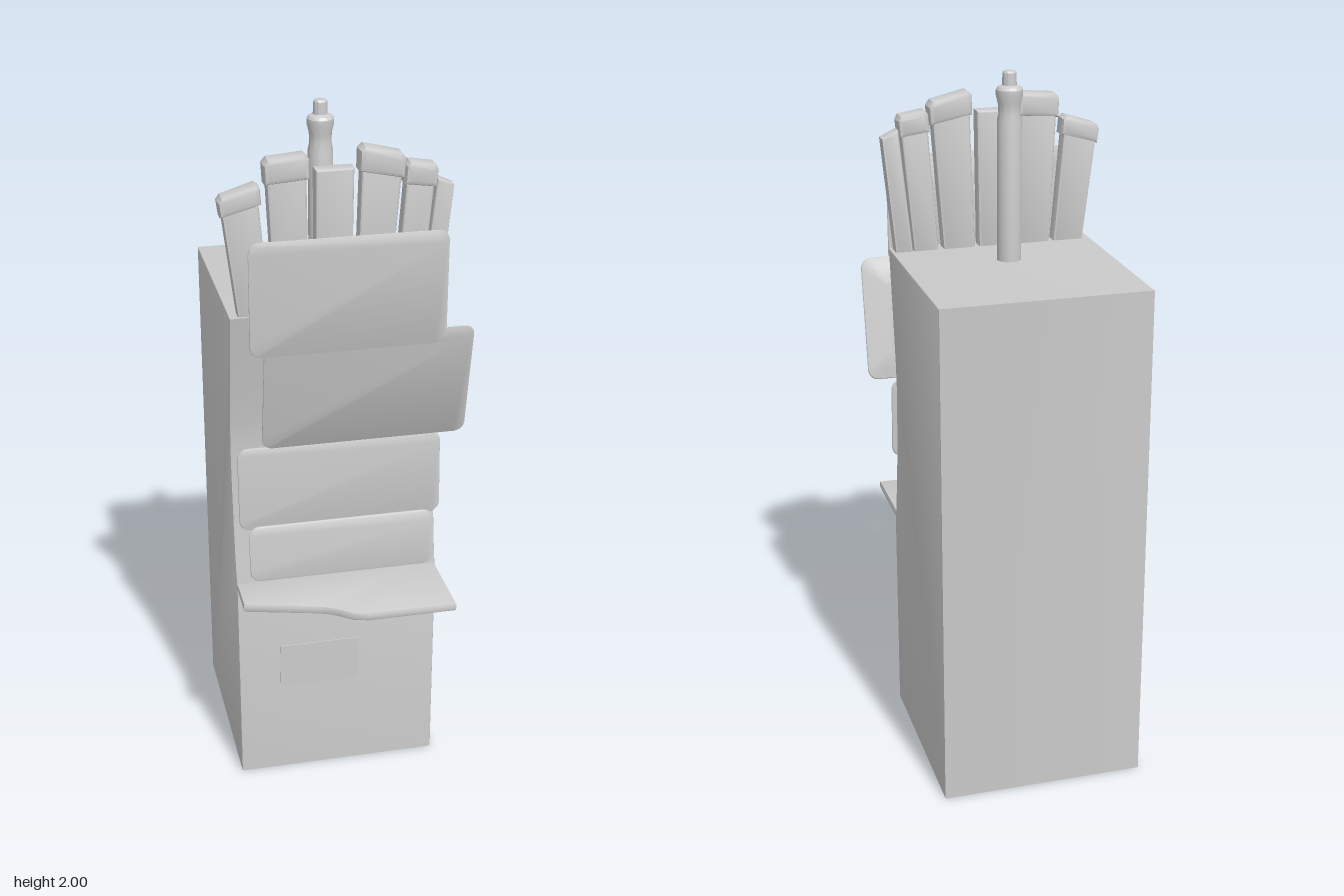
import * as THREE from 'three';
import { toCreasedNormals } from 'three/addons/utils/BufferGeometryUtils.js';

const grey = new THREE.MeshStandardMaterial({ color: 0xcccccc });

function mesh(name, geometry, parent) {
  const m = new THREE.Mesh(toCreasedNormals(geometry, 0.5), grey);
  m.name = name;
  parent.add(m);
  return m;
}

// Bevelled extrusion of an outline; the bevel stays inside outline and depth
function slab(points, depth, bevel) {
  const shape = new THREE.Shape(points.map(([x, y]) => new THREE.Vector2(x, y)));
  const g = new THREE.ExtrudeGeometry(shape, {
    depth: depth - 2 * bevel, bevelThickness: bevel, bevelSize: bevel,
    bevelOffset: -bevel, bevelSegments: 2,
  });
  return g.translate(0, 0, bevel);
}

// Rounded rectangle lofted through rings of [inset, z], front ring first
function roundedLoft(w, h, r, rings) {
  const pos = [], index = [], n = 24;
  for (const [inset, z] of rings) {
    const rr = Math.max(r - inset * 0.3, 0.008);
    for (let i = 0; i < n; i++) {
      const corner = Math.floor(i / 6);
      const a = (corner + (i % 6) / 5) * Math.PI / 2;
      const sx = corner === 0 || corner === 3 ? 1 : -1, sy = corner < 2 ? 1 : -1;
      pos.push(sx * (w / 2 - inset - rr) + rr * Math.cos(a), sy * (h / 2 - inset - rr) + rr * Math.sin(a), z);
    }
  }
  for (let k = 0; k < rings.length - 1; k++) {
    for (let i = 0; i < n; i++) {
      const a = k * n + i, b = k * n + (i + 1) % n;
      index.push(a, a + n, b, b, a + n, b + n);
    }
  }
  const last = (rings.length - 1) * n;
  for (let i = 1; i < n - 1; i++) {
    index.push(0, i, i + 1, last, last + i + 1, last + i);
  }
  const g = new THREE.BufferGeometry();
  g.setAttribute('position', new THREE.Float32BufferAttribute(pos, 3));
  g.setIndex(index);
  return g;
}

// Display plate with a domed back and a mounting block behind it
function display(name, x0, x1, y0, y1, z, tilt, mountW, mountH, mountD, thick, parent) {
  const g = new THREE.Group();
  g.name = name;
  const w = x1 - x0, h = (y1 - y0) / Math.cos(tilt);
  mesh(name + 'Plate', roundedLoft(w, h, 0.03, [
    [0.006, 0], [0.001, -0.002], [0, -0.005], [0.002, -0.008],
    [0.03, -0.6 * thick], [0.07, -thick],
  ]), g);
  const mount = mesh(name + 'Mount', roundedLoft(mountW, mountH, 0.012, [[0, 0], [0, -mountD]]), g);
  mount.position.z = -thick + 0.004;
  g.position.set((x0 + x1) / 2, (y0 + y1) / 2, z);
  g.rotation.x = tilt;
  parent.add(g);
}

// Upright slat from bottom edge to slanted top edge, with an optional thicker cap
function slat(i, b0, b1, [t0x, t0y], [t1x, t1y], capped, parent) {
  const base = 1.46;
  const g = new THREE.Group();
  g.name = 'slat' + i;
  const at = (u, v) => [
    THREE.MathUtils.lerp(THREE.MathUtils.lerp(b0, b1, u), THREE.MathUtils.lerp(t0x, t1x, u), v),
    THREE.MathUtils.lerp(base, THREE.MathUtils.lerp(t0y, t1y, u), v),
  ];
  const top = capped ? 0.97 : 1;
  mesh('slatBody', slab([at(0.06, 0), at(0.94, 0), at(0.94, top), at(0.06, top)], 0.045, 0.006), g)
    .position.z = 0.128;
  if (capped) {
    mesh('slatCap', slab([at(0, 0.85), at(1, 0.85), at(1, 0.97), at(0.9, 1), at(0.1, 1), at(0, 0.97)], 0.062, 0.012), g)
      .position.z = 0.123;
  }
  parent.add(g);
}

export function createModel() {
  const model = new THREE.Group();
  model.name = 'cabinetKiosk';

  // Cabinet: side profile with a hollowed front, extruded across its width
  const profile = [
    [-0.405, 0], [0.18, 0], [0.178, 0.62], [0.16, 0.7], [0.14, 0.82],
    [0.127, 0.95], [0.12, 1.06], [0.126, 1.14], [0.145, 1.26], [0.182, 1.475], [-0.405, 1.475],
  ];
  mesh('cabinet', slab(profile, 0.59, 0.005).rotateY(-Math.PI / 2), model).position.x = 0.27;

  // Shelf with a stepped front edge
  const shelf = [
    [-0.318, 0.14], [-0.318, 0.285], [-0.13, 0.335], [-0.09, 0.348], [-0.06, 0.367],
    [-0.025, 0.394], [0.015, 0.405], [0.268, 0.405], [0.268, 0.14],
  ].reverse();
  mesh('shelf', slab(shelf, 0.025, 0.005).rotateX(Math.PI / 2), model).position.y = 0.652;

  // Door panel in the lower front
  const door = mesh('doorPanel', new THREE.BoxGeometry(0.235, 0.14, 0.01), model);
  door.position.set(-0.08, 0.36, 0.177);

  // Display plates, top to bottom
  display('topDisplay', -0.285, 0.25, 1.4, 1.72, 0.289, 0.015, 0.21, 0.12, 0.062, 0.024, model);
  display('mainDisplay', -0.24, 0.34, 1.08, 1.43, 0.218, 0.2, 0.23, 0.14, 0.06, 0.022, model);
  display('lowerDisplay', -0.308, 0.275, 0.83, 1.08, 0.177, -0.05, 0.22, 0.11, 0.045, 0.02, model);
  display('buttonDisplay', -0.285, 0.253, 0.68, 0.845, 0.206, -0.13, 0.34, 0.07, 0.045, 0.016, model);

  // Fan of slats standing behind the top display
  [
    [-0.3, -0.2, [-0.343, 1.805], [-0.232, 1.84], true],
    [-0.2, -0.095, [-0.222, 1.9], [-0.1, 1.91], true],
    [-0.09, 0.022, [-0.09, 1.865], [0.028, 1.865], false],
    [0.022, 0.125, [0.035, 1.925], [0.16, 1.895], true],
    [0.13, 0.21, [0.16, 1.875], [0.248, 1.86], true],
    [0.205, 0.262, [0.242, 1.825], [0.296, 1.8], false],
  ].forEach(([b0, b1, t0, t1, cap], i) => slat(i + 1, b0, b1, t0, t1, cap, model));

  // Signal pole on the cabinet roof
  const pole = [
    [0, 1.46], [0.034, 1.46], [0.034, 1.865], [0.03, 1.885], [0.031, 1.91], [0.037, 1.935],
    [0.037, 1.95], [0.032, 1.957], [0.02, 1.962], [0.019, 1.995], [0.015, 2], [0, 2],
  ].map(([r, y]) => new THREE.Vector2(r, y));
  mesh('pole', new THREE.LatheGeometry(pole, 32), model).position.set(-0.03, 0, -0.018);

  return model;
}
